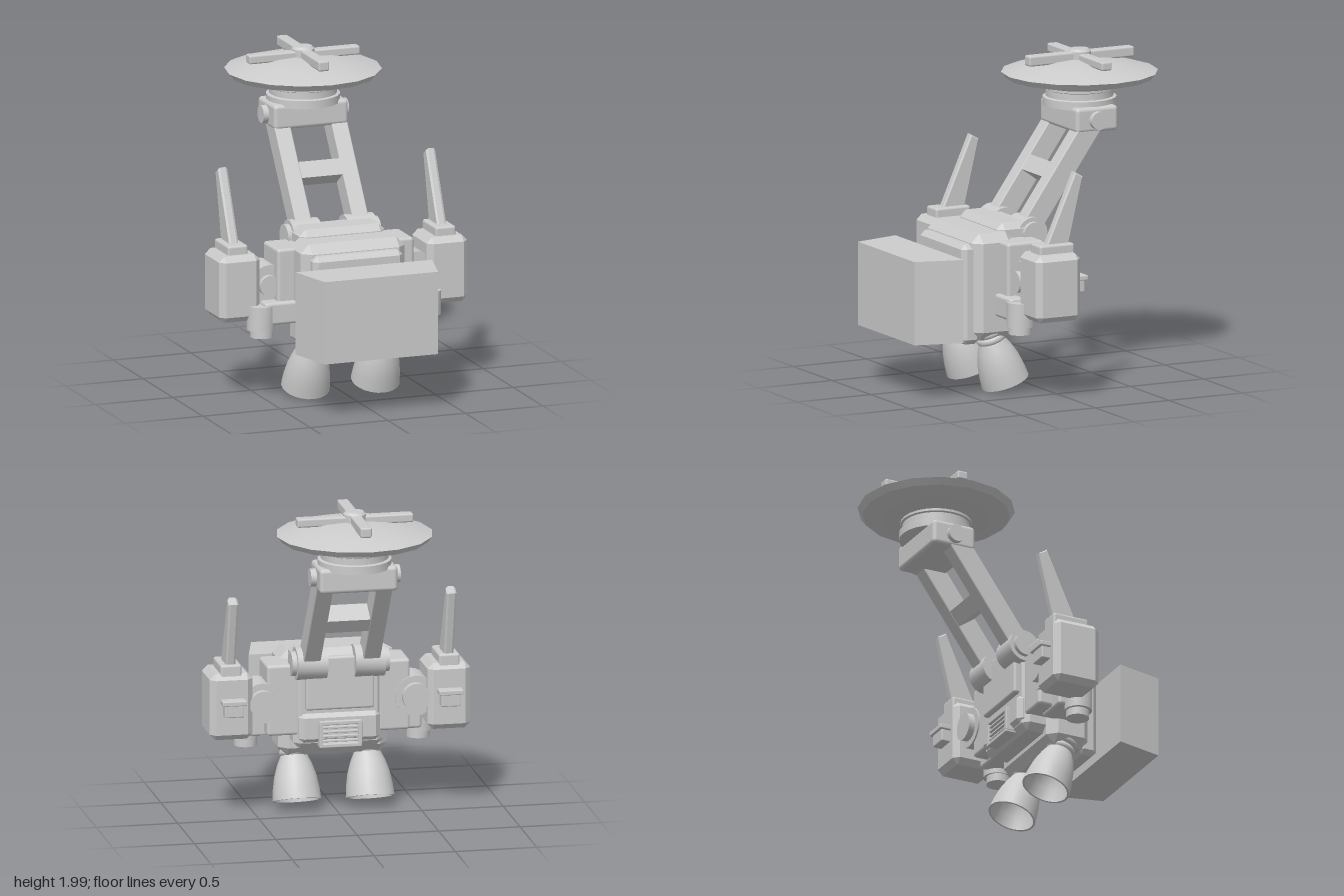
import * as THREE from 'three';
import { toCreasedNormals } from 'three/addons/utils/BufferGeometryUtils.js';
import { RoundedBoxGeometry } from 'three/addons/geometries/RoundedBoxGeometry.js';
import { ConvexGeometry } from 'three/addons/geometries/ConvexGeometry.js';

export function createModel() {
  const model = new THREE.Group();
  const grey = new THREE.MeshStandardMaterial({ color: 0xcccccc });
  grey.name = 'light grey plastic';

  function add(name, geometry, parent = model) {
    const mesh = new THREE.Mesh(geometry, grey);
    mesh.name = name;
    parent.add(mesh);
    return mesh;
  }
  // Boxes given as [min, max] ranges on each axis
  const size = (r) => r[1] - r[0];
  const mid = (r) => (r[0] + r[1]) / 2;
  function rounded(name, x, y, z, radius = 0.015, parent = model) {
    const mesh = add(name, new RoundedBoxGeometry(size(x), size(y), size(z), 2, radius), parent);
    mesh.position.set(mid(x), mid(y), mid(z));
    return mesh;
  }
  // Box with every edge cut flat by c
  function chamfered(name, x, y, z, c, parent = model) {
    const points = [];
    const a = size(x) / 2, b = size(y) / 2, d = size(z) / 2;
    for (const i of [-1, 1]) for (const j of [-1, 1]) for (const k of [-1, 1]) {
      points.push(new THREE.Vector3(i * a, j * (b - c), k * (d - c)));
      points.push(new THREE.Vector3(i * (a - c), j * b, k * (d - c)));
      points.push(new THREE.Vector3(i * (a - c), j * (b - c), k * d));
    }
    const mesh = add(name, new ConvexGeometry(points), parent);
    mesh.position.set(mid(x), mid(y), mid(z));
    return mesh;
  }
  function lathe(name, profile, sides, parent = model) {
    const points = profile.map(([r, y]) => new THREE.Vector2(r, y));
    return add(name, toCreasedNormals(new THREE.LatheGeometry(points, sides), 0.6), parent);
  }
  function cylinder(name, r, length, axis, pos, parent = model) {
    const g = toCreasedNormals(new THREE.CylinderGeometry(r, r, length, 20), 0.6);
    if (axis === 'x') g.rotateZ(Math.PI / 2);
    if (axis === 'z') g.rotateX(Math.PI / 2);
    const mesh = add(name, g, parent);
    mesh.position.set(...pos);
    return mesh;
  }

  // Main body, spine and back details
  chamfered('body', [-0.335, 0.335], [0.33, 0.985], [0.18, 0.465], 0.055);
  chamfered('frontPlate', [-0.29, 0.29], [0.31, 0.925], [0.4, 0.525], 0.03);
  chamfered('spine', [-0.275, 0.275], [0.41, 1.03], [0.035, 0.27], 0.04);
  rounded('backHatch', [-0.21, 0.21], [0.66, 0.99], [0.0, 0.08]);
  chamfered('backBelt', [-0.25, 0.25], [0.45, 0.64], [0.01, 0.2], 0.03);
  const vent = new THREE.Group();
  vent.name = 'vent';
  model.add(vent);
  for (const y of [0.44, 0.58]) rounded('ventRail', [-0.13, 0.13], [y - 0.012, y + 0.012], [-0.015, 0.08], 0.005, vent);
  for (const x of [-0.12, 0.12]) rounded('ventPost', [x - 0.012, x + 0.012], [0.44, 0.58], [-0.015, 0.08], 0.005, vent);
  for (let i = 0; i < 4; i++) {
    const y = 0.468 + i * 0.028;
    rounded('louver', [-0.11, 0.11], [y - 0.007, y + 0.007], [-0.008, 0.05], 0.004, vent);
  }

  // Floating front slab, narrower toward the front
  const slab = new THREE.BoxGeometry(0.88, 0.51, 0.295);
  const p = slab.attributes.position;
  for (let i = 0; i < p.count; i++) if (p.getZ(i) > 0) p.setX(i, Math.sign(p.getX(i)) * 0.365);
  slab.computeVertexNormals();
  add('frontSlab', slab).position.set(0, 0.615, 0.7475);

  // Mirrored side parts
  for (const s of [-1, 1]) {
    const side = new THREE.Group();
    side.name = s > 0 ? 'leftSide' : 'rightSide';
    model.add(side);
    const rx = (a, b) => (s > 0 ? [a, b] : [-b, -a]);

    // Shoulder and joint
    rounded('shoulder', rx(0.24, 0.44), [0.5, 0.94], [0.05, 0.3], 0.02, side);
    cylinder('joint', 0.125, 0.2, 'z', [s * 0.47, 0.71, 0.14], side);
    cylinder('jointCap', 0.085, 0.05, 'z', [s * 0.47, 0.71, 0.025], side);
    cylinder('jointFrontCap', 0.065, 0.04, 'z', [s * 0.475, 0.71, 0.25], side);
    rounded('lowerBracket', rx(0.3, 0.53), [0.48, 0.62], [0.14, 0.33], 0.02, side);
    cylinder('thruster', 0.084, 0.15, 'y', [s * 0.537, 0.525, 0.265], side);
    cylinder('thrusterTip', 0.07, 0.06, 'y', [s * 0.53, 0.433, 0.265], side);

    // Outer pod with cap, fin and rear latch
    chamfered('pod', rx(0.537, 0.8), [0.505, 0.915], [-0.02, 0.285], 0.035, side);
    rounded('podCap', rx(0.605, 0.735), [0.88, 0.97], [0.0, 0.235], 0.015, side);
    const finShape = new THREE.Shape([[-0.167, 0.95], [-0.03, 0.95], [0.067, 1.36], [0.027, 1.385]]
      .map(([x, y]) => new THREE.Vector2(x, y)));
    const fin = new THREE.ExtrudeGeometry(finShape,
      { depth: 0.036, bevelThickness: 0.012, bevelSize: 0.009, bevelSegments: 1 });
    fin.translate(0, 0, -0.018).rotateY(Math.PI / 2);
    add('fin', fin, side).position.x = s * 0.67;
    rounded('latchPlate', rx(0.59, 0.74), [0.735, 0.765], [-0.09, 0.0], 0.006, side);
    rounded('latchBlock', rx(0.605, 0.725), [0.66, 0.75], [-0.075, 0.0], 0.008, side);

    // Tilted engine bell, collars and mount
    const engine = new THREE.Group();
    engine.name = 'engine';
    engine.position.set(s * 0.225, 0.055, 0.205);
    engine.rotation.x = 0.343;
    side.add(engine);
    lathe('bell', [[0, 0.22], [0.065, 0.22], [0.1, 0.16], [0.125, 0.08], [0.135, 0], [0.148, 0],
      [0.142, 0.07], [0.128, 0.15], [0.105, 0.22], [0.08, 0.275], [0, 0.275]], 24, engine);
    for (const [y, r] of [[0.29, 0.068], [0.335, 0.076]]) {
      const ring = add('collar', new THREE.TorusGeometry(r, 0.024, 8, 20), engine);
      ring.rotation.x = Math.PI / 2;
      ring.position.y = y;
    }
    cylinder('engineMount', 0.07, 0.14, 'y', [0, 0.34, 0], engine);

    // Boom pivot and beam
    cylinder('boomPivot', 0.1, 0.185, 'x', [s * 0.178, 0.95, 0.04], side);
    cylinder('boomPivotCap', 0.075, 0.03, 'x', [s * 0.285, 0.95, 0.04], side);
    const beam = add('boomBeam', new RoundedBoxGeometry(0.105, 0.77, 0.135, 1, 0.008), side);
    beam.position.set(s * 0.183, 1.265, -0.171);
    beam.rotation.x = -0.613;
    cylinder('headPin', 0.055, 0.06, 'x', [s * 0.245, 1.6, -0.415], side);
  }
  const brace = add('boomBrace', new THREE.BoxGeometry(0.28, 0.105, 0.13));
  brace.position.set(0, 1.272, -0.176);
  brace.rotation.x = -0.613;

  // Head block and dish
  rounded('headBlock', [-0.24, 0.24], [1.525, 1.68], [-0.56, -0.275], 0.025);
  const dish = new THREE.Group();
  dish.name = 'dish';
  dish.position.z = -0.42;
  model.add(dish);
  lathe('dishNeck', [[0, 1.66], [0.224, 1.66], [0.224, 1.71], [0.205, 1.715], [0.205, 1.755],
    [0.217, 1.76], [0.217, 1.785], [0, 1.785]], 24, dish);
  lathe('dishShell', [[0, 1.77], [0.22, 1.775], [0.445, 1.825], [0.475, 1.863], [0.33, 1.905],
    [0.18, 1.933], [0, 1.945]], 16, dish);
  rounded('rotorBar', [-0.357, 0.357], [1.92, 1.975], [-0.035, 0.035], 0.012, dish);
  rounded('rotorBar', [-0.035, 0.035], [1.921, 1.985], [-0.357, 0.357], 0.012, dish);
  lathe('rotorHub', [[0, 1.93], [0.07, 1.93], [0.07, 1.985], [0.055, 2], [0, 2]], 16, dish);

  return model;
}
